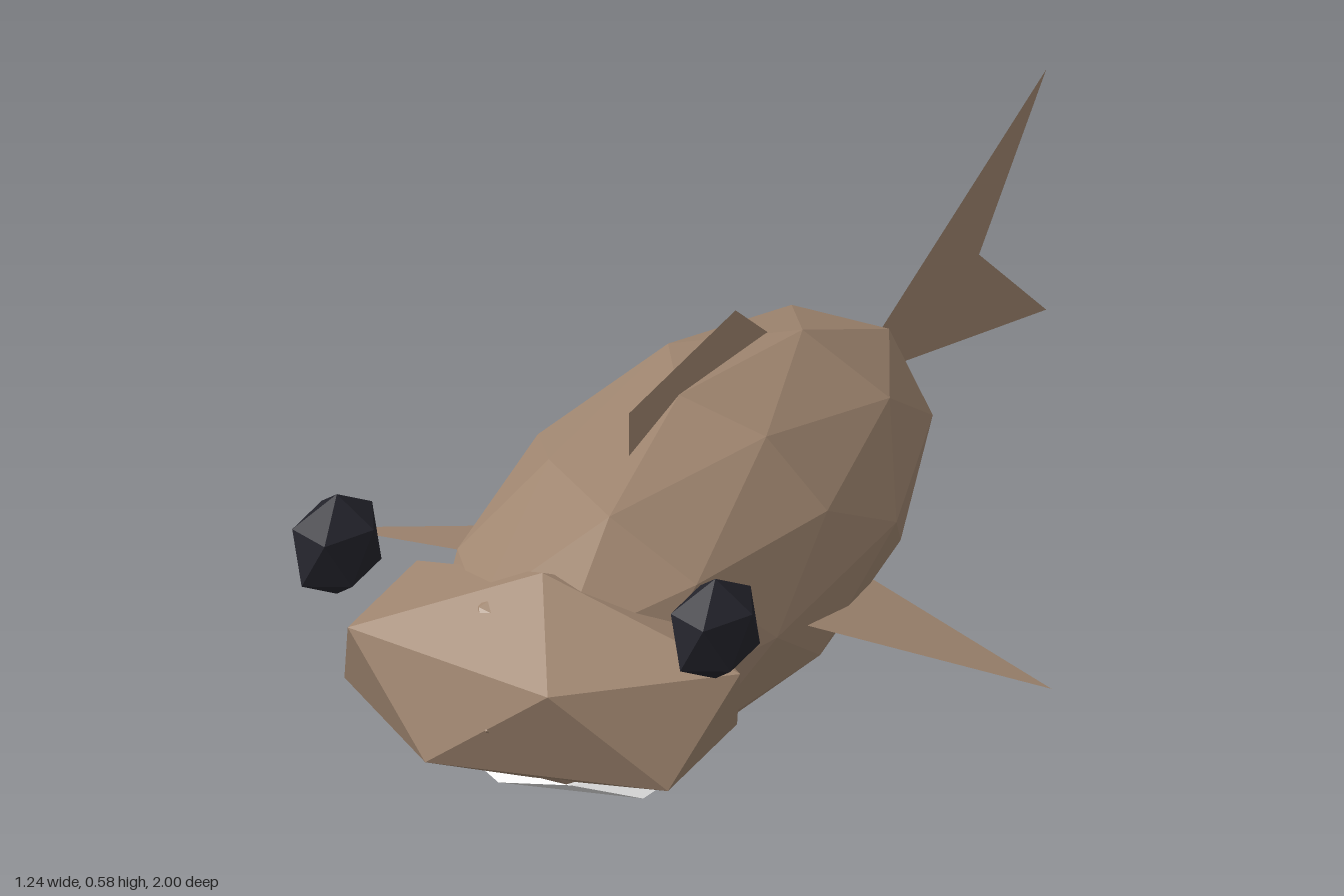
import * as THREE from 'three';

const skin = new THREE.MeshStandardMaterial({ color: 0xa08670, flatShading: true, side: THREE.DoubleSide });
skin.name = 'brown skin';
const eyeBlack = new THREE.MeshStandardMaterial({ color: 0x23232b, flatShading: true });
eyeBlack.name = 'eye black';
const mouthGrey = new THREE.MeshStandardMaterial({ color: 0xdcdcdc, flatShading: true });
mouthGrey.name = 'mouth light grey';

const TILT = Math.atan(2 / (1 + Math.sqrt(5)));

// Faceted ball standing on one corner, stretched to the given radii
function facetedBall(name, material, detail, radii, position) {
  const geometry = new THREE.IcosahedronGeometry(1, detail);
  geometry.rotateZ(-TILT).scale(...radii);
  geometry.computeVertexNormals();
  const mesh = new THREE.Mesh(geometry, material);
  mesh.name = name;
  mesh.position.set(...position);
  return mesh;
}

// Flat fin: a fan of triangles around the first corner
function fin(name, corners) {
  const points = [];
  for (let i = 1; i < corners.length - 1; i++) {
    points.push(...[corners[0], corners[i], corners[i + 1]].map((p) => new THREE.Vector3(...p)));
  }
  const geometry = new THREE.BufferGeometry().setFromPoints(points);
  geometry.computeVertexNormals();
  const mesh = new THREE.Mesh(geometry, skin);
  mesh.name = name;
  return mesh;
}

export function createModel() {
  const fish = new THREE.Group();
  fish.name = 'fish';

  // Body, broad head and mouth
  fish.add(facetedBall('body', skin, 1, [0.285, 0.262, 0.69], [0, 0.266, 0.312]));
  fish.add(facetedBall('head', skin, 0, [0.38, 0.18, 0.235], [0, 0.268, 0.8]));
  fish.add(facetedBall('mouth', mouthGrey, 0, [0.225, 0.026, 0.15], [0, 0.092, 0.7]));

  // Tail and back fin
  fish.add(fin('tailFin', [[0, 0.265, -0.29], [0, 0.475, -1], [0, 0.265, -0.76], [0, 0.055, -1]]));
  fish.add(fin('backFin', [[0, 0.46, 0.49], [0, 0.58, 0.49], [0, 0.58, 0.11], [0, 0.475, -0.02]]));

  // Eyes and side fins on both sides
  for (const [side, s] of [['left', 1], ['right', -1]]) {
    fish.add(facetedBall(side + 'Eye', eyeBlack, 0, [0.071, 0.087, 0.1], [s * 0.325, 0.452, 0.858]));
    fish.add(fin(side + 'SideFin', [[s * 0.21, 0.24, 0.42], [s * 0.62, 0.135, 0.27], [s * 0.21, 0.135, 0.06]]));
  }
  return fish;
}
